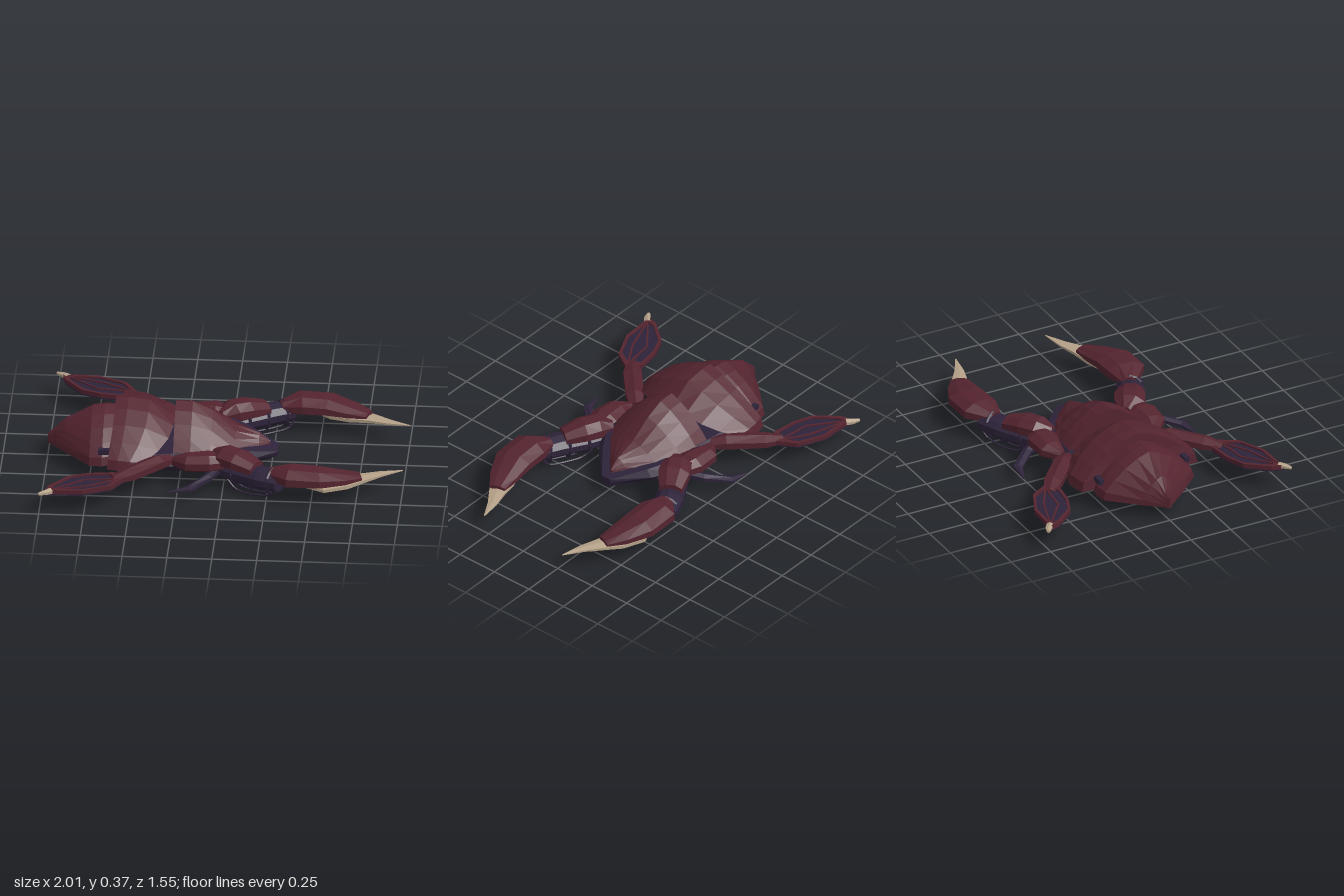
import * as THREE from 'three';

const mat = (name, color, side = THREE.FrontSide) => {
  const m = new THREE.MeshStandardMaterial({ color, side, flatShading: true });
  m.name = name;
  return m;
};

// Skins a list of rings (counterclockwise about the travel direction) and caps both ends
function loft(rings) {
  const n = rings[0].length, pos = [];
  const tri = (...pts) => pts.forEach(p => pos.push(p.x, p.y, p.z));
  const middle = r => r.reduce((s, p) => s.add(p), new THREE.Vector3()).divideScalar(n);
  const last = rings[rings.length - 1], c0 = middle(rings[0]), c1 = middle(last);
  for (let j = 0; j < n; j++) {
    const k = (j + 1) % n;
    for (let i = 0; i < rings.length - 1; i++) {
      const a = rings[i], b = rings[i + 1];
      tri(a[j], a[k], b[k]);
      tri(a[j], b[k], b[j]);
    }
    tri(c0, rings[0][k], rings[0][j]);
    tri(c1, last[j], last[k]);
  }
  const g = new THREE.BufferGeometry();
  g.setAttribute('position', new THREE.Float32BufferAttribute(pos, 3));
  g.computeVertexNormals();
  return g;
}

// Limb from stations [x, y, z, half width, half height]
function limb(stations, sides = 8) {
  return loft(stations.map(([x, y, z, w, h], i) => {
    const p = stations[Math.max(i - 1, 0)], q = stations[Math.min(i + 1, stations.length - 1)];
    const d = new THREE.Vector3(q[0] - p[0], 0, q[2] - p[2]).normalize();
    return Array.from({ length: sides }, (_, j) => {
      const a = (j + 0.5) / sides * Math.PI * 2, c = Math.cos(a) * w;
      return new THREE.Vector3(x + d.z * c, y + Math.sin(a) * h, z - d.x * c);
    });
  }));
}

// Ridged carapace plate from stations [x, half width, base y, top y, sweep of the edge]
function shell(stations) {
  const half = [[1, 0], [0.96, 0.2], [0.76, 0.46], [0.52, 0.7], [0.25, 0.89]];
  const profile = [...half.map(([z, y]) => [-z, y]), [0, 1], ...half.slice().reverse()];
  return loft(stations.map(([x, w, base, top, sweep = 0]) => profile.map(([z, y]) =>
    new THREE.Vector3(x + sweep * Math.abs(z) ** 3, base + (top - base) * y, z * w))));
}

export function createModel() {
  const red = mat('maroon shell', 0x54242f, THREE.DoubleSide);
  const dark = mat('dark purple', 0x2e233a);
  const tan = mat('bone', 0xb5a188);
  const model = new THREE.Group();
  const add = (parent, name, geometry, material) => {
    const m = new THREE.Mesh(geometry, material);
    m.name = name;
    parent.add(m);
    return m;
  };

  // Boat-shaped underbody: [x, half width, bottom, top]
  const hull = [[-0.96, 0.03, 0.085, 0.1], [-0.76, 0.25, 0.05, 0.12], [-0.5, 0.31, 0.022, 0.14],
    [-0.2, 0.3, 0.015, 0.165], [0, 0.27, 0.02, 0.16], [0.12, 0.19, 0.03, 0.14], [0.285, 0.035, 0.05, 0.1]];
  add(model, 'underbody', loft(hull.map(([x, w, b, t]) => [[-1, 0.6], [-0.85, 1], [0.85, 1], [1, 0.6], [0.6, 0], [-0.6, 0]]
    .map(([z, y]) => new THREE.Vector3(x, b + (t - b) * y, z * w)))), dark);

  // Three overlapping back plates
  add(model, 'rearShell', shell([[-1, 0.008, 0.08, 0.135], [-0.97, 0.035, 0.08, 0.165], [-0.9, 0.12, 0.08, 0.235],
    [-0.75, 0.285, 0.08, 0.315], [-0.68, 0.298, 0.085, 0.325], [-0.62, 0.28, 0.09, 0.325]]), red);
  add(model, 'middleShell', shell([[-0.62, 0.365, 0.1, 0.37, -0.025], [-0.55, 0.378, 0.1, 0.375, -0.04],
    [-0.43, 0.385, 0.1, 0.36, -0.1], [-0.29, 0.365, 0.11, 0.265, -0.17]]), red);
  add(model, 'frontShell', shell([[-0.285, 0.27, 0.1, 0.36], [-0.19, 0.275, 0.1, 0.358], [-0.08, 0.265, 0.1, 0.31],
    [0.05, 0.21, 0.1, 0.22], [0.18, 0.07, 0.1, 0.18], [0.24, 0.008, 0.1, 0.13]]), red);

  // Everything on one side; the other is mirrored
  for (const s of [1, -1]) {
    const side = new THREE.Group();
    side.name = s > 0 ? 'frontSideLimbs' : 'backSideLimbs';
    side.scale.z = s;
    model.add(side);

    add(side, 'shellHinge', new THREE.BoxGeometry(0.06, 0.03, 0.03), dark).position.set(-0.67, 0.165, 0.27);

    // Swimming leg
    add(side, 'paddleStrut', limb([[-0.3, 0.13, 0.27, 0.04, 0.03], [-0.36, 0.14, 0.33, 0.058, 0.04],
      [-0.52, 0.13, 0.48, 0.06, 0.035], [-0.6, 0.125, 0.545, 0.035, 0.02]], 6), red);
    const outline = [[-0.97, 0.745], [-0.92, 0.73], [-0.76, 0.725], [-0.6, 0.65], [-0.53, 0.53],
      [-0.6, 0.48], [-0.74, 0.5], [-0.85, 0.545], [-0.95, 0.67]];
    const points = k => outline.map(([x, z]) => new THREE.Vector2(-0.75 + (x + 0.75) * k, 0.61 + (z - 0.61) * k));
    const plate = (shape, depth, top) => new THREE.ExtrudeGeometry(shape, { depth, bevelEnabled: false })
      .rotateX(Math.PI / 2).translate(0, top, 0);
    const rim = new THREE.Shape(points(1));
    rim.holes.push(new THREE.Path(points(0.84)));
    add(side, 'paddleRim', plate(rim, 0.025, 0.142), red);
    add(side, 'paddleWeb', plate(new THREE.Shape(points(0.985)), 0.024, 0.132), dark);
    for (const [x, z] of [[-0.76, 0.575], [-0.72, 0.645]])
      add(side, 'paddleRib', limb([[-0.56, 0.135, 0.55, 0.008, 0.006], [x, 0.135, z, 0.007, 0.006],
        [-0.94, 0.135, 0.72, 0.006, 0.006]], 4), red);
    add(side, 'paddleTip', limb([[-0.935, 0.132, 0.72, 0.022, 0.018], [-0.965, 0.132, 0.745, 0.02, 0.015],
      [-1, 0.132, 0.765, 0.01, 0.008]], 6), tan);

    // Small hooked leg
    add(side, 'hookLeg', limb([[-0.04, 0.1, 0.33, 0.03, 0.025], [-0.08, 0.09, 0.41, 0.03, 0.022],
      [-0.18, 0.07, 0.52, 0.03, 0.016], [-0.29, 0.06, 0.542, 0.004, 0.004]], 6), dark);

    // Arm with two armour plates over a ringed forearm
    add(side, 'shoulderPlate', limb([[-0.28, 0.13, 0.29, 0.025, 0.03], [-0.2, 0.14, 0.32, 0.075, 0.05],
      [-0.08, 0.145, 0.315, 0.09, 0.055], [0.0, 0.14, 0.3, 0.06, 0.045]]), red);
    add(side, 'elbowPlate', limb([[-0.05, 0.15, 0.23, 0.035, 0.04], [0.01, 0.165, 0.285, 0.09, 0.062],
      [0.09, 0.165, 0.33, 0.095, 0.057], [0.19, 0.145, 0.39, 0.068, 0.04]]), red);
    add(side, 'forearm', limb([[-0.04, 0.09, 0.26, 0.06, 0.05], [0.08, 0.092, 0.325, 0.075, 0.058],
      [0.22, 0.098, 0.405, 0.082, 0.062], [0.33, 0.1, 0.455, 0.075, 0.055]], 10), dark);
    for (const t of [0.35, 0.65, 0.95]) {
      const ring = add(side, 'forearmRing', new THREE.TorusGeometry(0.07, 0.01, 5, 12), dark);
      ring.position.set(-0.04 + 0.34 * t, 0.096, 0.26 + 0.18 * t);
      ring.rotation.y = Math.atan2(0.34, 0.18);
    }
    for (const o of [-0.05, 0, 0.05]) {
      const hose = new THREE.CatmullRomCurve3([[0.05, 0.06, 0.31], [0.1, 0.015, 0.34], [0.2, 0.008, 0.39], [0.3, 0.03, 0.43], [0.32, 0.07, 0.45]]
        .map(([x, y, z]) => new THREE.Vector3(x - o * 0.5, y, z + o * 0.9)));
      add(side, 'forearmHose', new THREE.TubeGeometry(hose, 12, 0.006, 5), dark);
    }

    // Claw: armoured hand with a long bone blade beneath
    add(side, 'clawHand', limb([[0.27, 0.135, 0.42, 0.045, 0.035], [0.38, 0.145, 0.46, 0.115, 0.058],
      [0.54, 0.14, 0.46, 0.115, 0.052], [0.67, 0.125, 0.42, 0.085, 0.035], [0.765, 0.118, 0.385, 0.05, 0.016]]), red);
    add(side, 'clawBlade', limb([[0.46, 0.09, 0.47, 0.02, 0.008], [0.56, 0.085, 0.465, 0.075, 0.018],
      [0.68, 0.09, 0.42, 0.075, 0.02], [0.78, 0.1, 0.375, 0.052, 0.016], [0.88, 0.105, 0.325, 0.03, 0.01],
      [1, 0.11, 0.283, 0.003, 0.003]], 6), tan);
  }
  return model;
}
